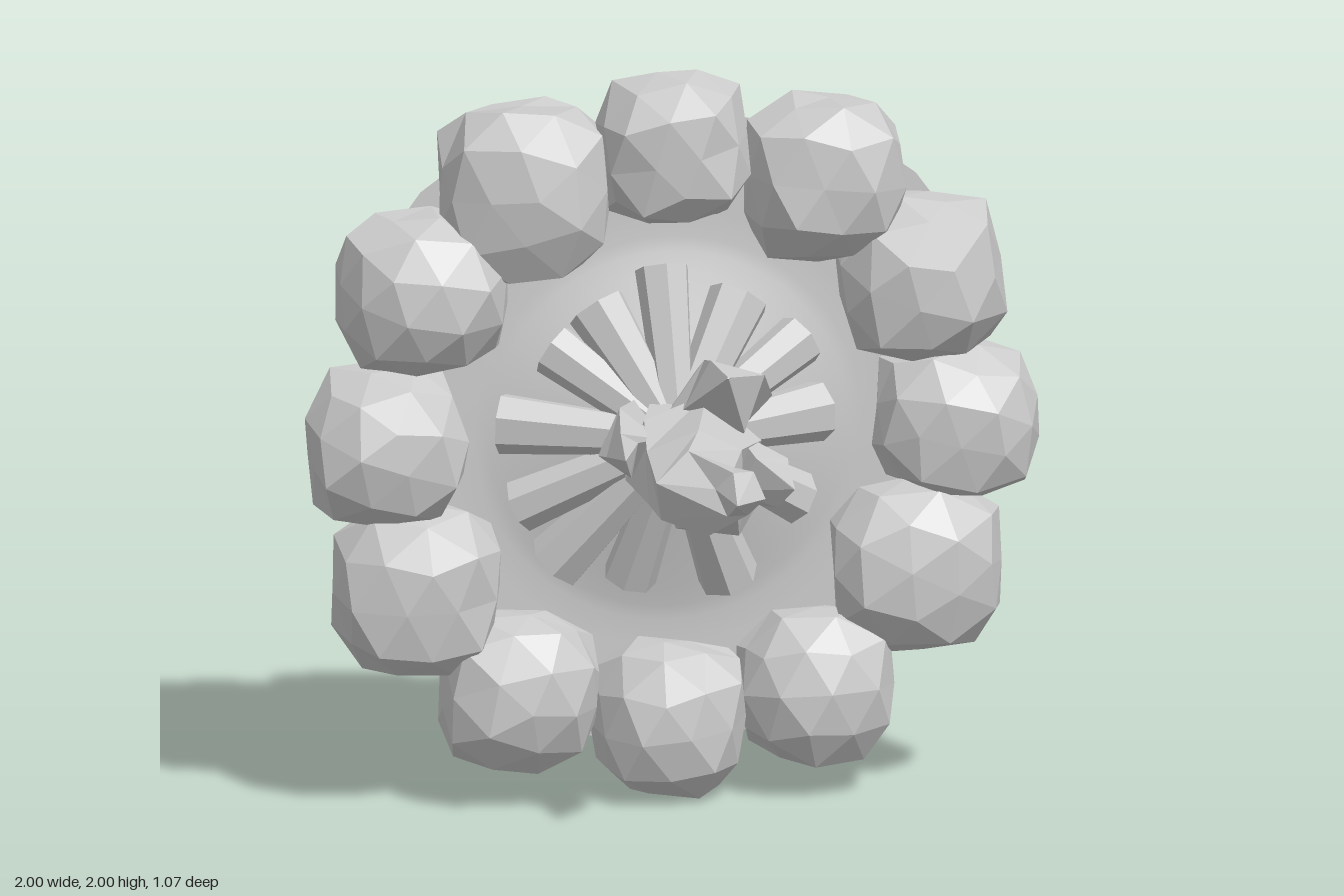
import * as THREE from 'three';

const BACK = -0.54;
const flat = new THREE.MeshStandardMaterial({ color: 0xcccccc, flatShading: true });
const smooth = new THREE.MeshStandardMaterial({ color: 0xcccccc, side: THREE.DoubleSide });

// Repeatable noise in -1..1 from a direction and a seed
function noise(v, seed) {
  const s = Math.sin(Math.round(v.x * 50) * 12.99 + Math.round(v.y * 50) * 78.23
    + Math.round(v.z * 50) * 37.72 + seed * 9.17) * 43758.5453;
  return (s - Math.floor(s)) * 2 - 1;
}

function addMesh(parent, name, geometry, material) {
  const mesh = new THREE.Mesh(geometry, material);
  mesh.name = name;
  parent.add(mesh);
  return mesh;
}

// Faceted boulder filling the box x0..x1, y0..y1, cut flat at the back
function stoneGeometry([x0, x1, y0, y1, top], seed) {
  const geo = new THREE.IcosahedronGeometry(1, 1);
  const pos = geo.attributes.position;
  const turn = new THREE.Euler(seed * 1.3, seed * 0.7, seed * 2.1);
  const v = new THREE.Vector3();
  for (let i = 0; i < pos.count; i++) {
    v.fromBufferAttribute(pos, i);
    const bump = 1 + 0.06 * noise(v, seed);
    v.applyEuler(turn);
    const p = v.z > 0 ? 2.8 : 4.5; // domed front, upright sides at the back
    const box = (Math.abs(v.x) ** p + Math.abs(v.y) ** p + Math.abs(v.z) ** p) ** (-1 / p);
    v.multiplyScalar(box * bump);
    pos.setXYZ(i, v.x, v.y, v.z);
  }
  geo.computeBoundingBox();
  const { min, max } = geo.boundingBox;
  const base = -0.47;
  for (let i = 0; i < pos.count; i++) {
    const x = THREE.MathUtils.mapLinear(pos.getX(i), min.x, max.x, x0, x1);
    const y = THREE.MathUtils.mapLinear(pos.getY(i), min.y, max.y, y0, y1);
    const z = base + (pos.getZ(i) / max.z) * (top - base);
    pos.setXYZ(i, x, y, Math.max(z, BACK + 0.003));
  }
  geo.computeVertexNormals();
  return geo;
}

// Flame tongue: rings [x, y, z, rx, ry, twist] stacked towards +z
function tongueGeometry(rings, sides) {
  const points = [], index = [];
  rings.forEach(([x, y, z, rx, ry, twist = 0], k) => {
    for (let i = 0; i < sides; i++) {
      const a = (i / sides) * Math.PI * 2 + twist;
      const zig = k > 0 && rx > 0.03 ? 0.025 * ((i + k) % 2 ? 1 : -1) : 0;
      points.push(x + rx * Math.cos(a), y + ry * Math.sin(a), z + zig);
    }
  });
  for (let k = 0; k < rings.length - 1; k++) {
    for (let i = 0; i < sides; i++) {
      const a = k * sides + i, b = k * sides + (i + 1) % sides;
      index.push(a, b, b + sides, a, b + sides, a + sides);
    }
  }
  // close the base
  for (let i = 1; i < sides - 1; i++) index.push(0, i + 1, i);
  const geo = new THREE.BufferGeometry();
  geo.setAttribute('position', new THREE.Float32BufferAttribute(points, 3));
  geo.setIndex(index);
  geo.computeVertexNormals();
  return geo;
}

// Thin ground sheet with a low conical mound, wider at the upper corners
function groundGeometry() {
  const profile = [[0, -0.4], [0.12, -0.43], [0.25, -0.468], [0.36, -0.5], [0.44, -0.52],
    [0.49, -0.533], [0.53, -0.539], [0.6, BACK], [0.87, BACK]];
  const geo = new THREE.LatheGeometry(profile.map(([r, z]) => new THREE.Vector2(r, z)), 48);
  geo.rotateX(Math.PI / 2);
  const pos = geo.attributes.position;
  for (let i = 0; i < pos.count; i++) {
    const x = pos.getX(i), y = pos.getY(i);
    if (Math.hypot(x, y) < 0.8) continue;
    const corner = Math.max(0, y) * Math.abs(x) / 0.378;
    const grow = 1 + 0.1 * corner ** 4;
    pos.setXY(i, x * grow, y * grow);
  }
  return geo;
}

export function createModel() {
  const model = new THREE.Group();
  model.name = 'campfire';

  addMesh(model, 'ground', groundGeometry(), smooth).position.y = 1;

  // Ring of stones: x0, x1, y0, y1, front z
  const stones = new THREE.Group();
  stones.name = 'stoneRing';
  model.add(stones);
  [
    [-0.2, 0.2, 1.58, 2.0, -0.27], [0.2, 0.62, 1.46, 1.92, -0.26],
    [0.45, 0.9, 1.18, 1.64, -0.27], [0.55, 1.0, 0.8, 1.22, -0.27],
    [0.43, 0.9, 0.37, 0.85, -0.28], [0.18, 0.61, 0.07, 0.5, -0.27],
    [-0.22, 0.2, 0.0, 0.43, -0.28], [-0.63, -0.2, 0.09, 0.52, -0.27],
    [-0.93, -0.47, 0.37, 0.84, -0.27], [-1.0, -0.57, 0.78, 1.22, -0.27],
    [-0.91, -0.45, 1.2, 1.64, -0.26], [-0.64, -0.17, 1.45, 1.93, -0.26],
  ].forEach((box, i) => addMesh(stones, 'stone', stoneGeometry(box, i + 1), flat));

  // Tapered logs leaning together, given by their outer ends
  const logs = new THREE.Group();
  logs.name = 'logs';
  model.add(logs);
  const up = new THREE.Vector3(0, 1, 0);
  [
    [-0.03, 1.46], [0.18, 1.37], [0.35, 1.25], [0.4, 1.05], [0.34, 0.81], [0.15, 0.6],
    [-0.12, 0.61], [-0.32, 0.66], [-0.42, 0.82], [-0.47, 1.05], [-0.33, 1.25], [-0.21, 1.36],
  ].forEach(([x, y], i) => {
    const outer = new THREE.Vector3(x, y, -0.46);
    const inner = new THREE.Vector3(-0.02 + (x + 0.02) * 0.12, 1.03 + (y - 1.03) * 0.12, -0.3);
    const dir = outer.clone().sub(inner);
    const width = 0.074 + 0.01 * (i % 2);
    const log = addMesh(logs, 'log', new THREE.CylinderGeometry(width, 0.05, dir.length(), 7), flat);
    log.position.copy(inner).add(outer).multiplyScalar(0.5);
    log.quaternion.setFromUnitVectors(up, dir.normalize());
  });

  // Flame: a tall central tongue with shorter ones curling outwards
  const flame = new THREE.Group();
  flame.name = 'flame';
  model.add(flame);
  const tongues = {
    mainTongue: [6, [[0, 1.01, -0.36, 0.15, 0.14], [0, 1.0, -0.15, 0.19, 0.18, 0.3],
      [-0.03, 1.0, 0.05, 0.15, 0.135, 0.5], [-0.05, 0.99, 0.2, 0.125, 0.115, 0.7],
      [0.04, 1.02, 0.35, 0.065, 0.07, 0.9], [0.0, 1.03, 0.53, 0.001, 0.001, 1]]],
    upperTongue: [4, [[0.03, 1.08, -0.36, 0.12, 0.1], [0.08, 1.13, -0.24, 0.15, 0.12, 0.2],
      [0.08, 1.19, -0.1, 0.12, 0.11, 0.4], [0.06, 1.27, 0.05, 0.003, 0.003, 0.4]]],
    leftTongue: [4, [[0.08, 1.0, -0.36, 0.1, 0.1], [0.14, 0.98, -0.1, 0.11, 0.11, 0.3],
      [0.17, 0.97, 0.0, 0.075, 0.075, 0.4], [0.23, 0.97, 0.11, 0.002, 0.002, 0.4]]],
    rightTongue: [4, [[-0.11, 1.03, -0.36, 0.09, 0.1], [-0.19, 1.06, -0.1, 0.085, 0.1, 0.2],
      [-0.22, 1.07, 0.02, 0.045, 0.06, 0.3], [-0.24, 1.08, 0.16, 0.002, 0.002, 0.3]]],
    lowerTongue: [5, [[0.02, 0.95, -0.36, 0.11, 0.1], [0.05, 0.89, -0.14, 0.14, 0.11, 0.2],
      [0.04, 0.92, 0.0, 0.09, 0.07, 0.4], [0.02, 0.89, 0.13, 0.003, 0.003, 0.4]]],
  };
  for (const [name, [sides, rings]] of Object.entries(tongues)) {
    addMesh(flame, name, tongueGeometry(rings, sides), flat);
  }
  return model;
}
